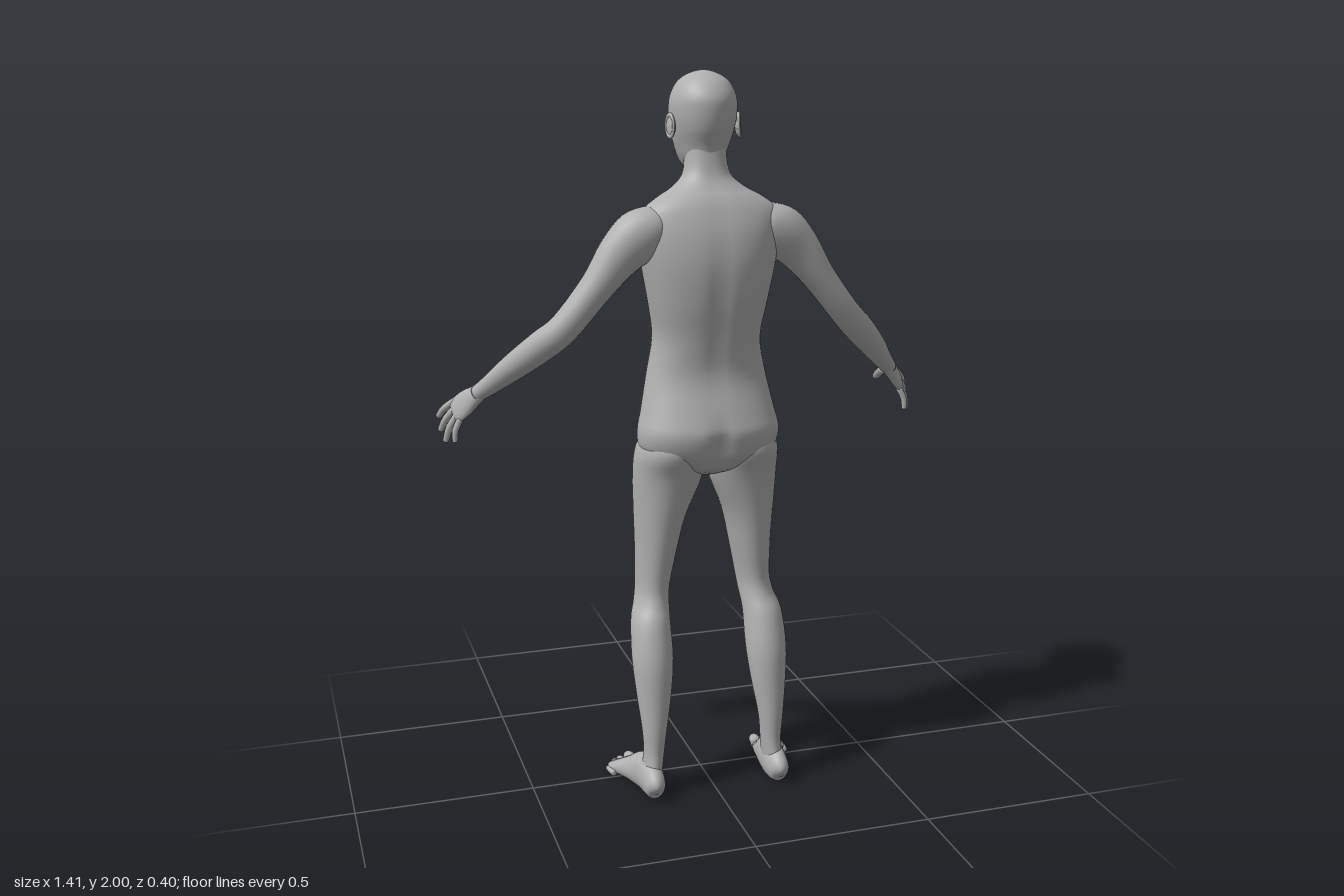
import * as THREE from 'three';

const V = (x, y, z) => new THREE.Vector3(x, y, z);
const gauss = (d, s) => Math.exp(-(d * d) / (2 * s * s));

// Catmull-Rom value through rows of numbers
function sample(rows, i, t) {
  const n = rows.length - 1;
  const p = k => rows[Math.max(0, Math.min(n, k))];
  return rows[i].map((_, c) => {
    const a = p(i - 1)[c], b = p(i)[c], d = p(i + 1)[c], e = p(i + 2)[c];
    return b + 0.5 * t * (d - a + t * (2 * a - 5 * b + 4 * d - e + t * (3 * (b - d) + e - a)));
  });
}

// Closed skin over elliptical sections [x, y, z, radiusA, radiusB].
// level: sections stay horizontal; otherwise they stand across the path, with radiusA along ref.
function loft(rows, { seg = 28, steps = 4, level = false, ref = V(0, 0, 1), power = 2, deform = null } = {}) {
  const s = [];
  for (let i = 0; i < rows.length - 1; i++)
    for (let k = 0; k < steps; k++) s.push(sample(rows, i, k / steps));
  s.push(rows[rows.length - 1]);
  const pos = [], idx = [];
  const centre = i => V(s[i][0], s[i][1], s[i][2]);
  const add = p => { if (deform) deform(p); pos.push(p.x, p.y, p.z); };
  const sup = v => Math.sign(v) * Math.pow(Math.abs(v), 2 / power);
  s.forEach((r, i) => {
    const T = centre(Math.min(i + 1, s.length - 1)).sub(centre(Math.max(i - 1, 0)));
    if (level) T.set(0, Math.sign(T.y), 0);
    T.normalize();
    const A = level ? V(1, 0, 0) : ref.clone().addScaledVector(T, -ref.dot(T)).normalize();
    const B = T.clone().cross(A);
    for (let j = 0; j < seg; j++) {
      const a = j / seg * Math.PI * 2;
      add(centre(i).addScaledVector(A, sup(Math.cos(a)) * r[3]).addScaledVector(B, sup(Math.sin(a)) * r[4]));
    }
  });
  for (let i = 0; i < s.length - 1; i++)
    for (let j = 0; j < seg; j++) {
      const a = i * seg + j, b = i * seg + (j + 1) % seg;
      idx.push(a, b, b + seg, a, b + seg, a + seg);
    }
  // end caps
  const last = (s.length - 1) * seg, c0 = s.length * seg;
  add(centre(0)); add(centre(s.length - 1));
  for (let j = 0; j < seg; j++) {
    const k = (j + 1) % seg;
    idx.push(c0, k, j, c0 + 1, last + j, last + k);
  }
  const g = new THREE.BufferGeometry();
  g.setAttribute('position', new THREE.Float32BufferAttribute(pos, 3));
  g.setIndex(idx);
  g.computeVertexNormals();
  return g;
}

// Mirror image of a geometry across x = 0
function mirrored(geo) {
  const g = geo.clone().scale(-1, 1, 1), ix = g.index.array;
  for (let i = 0; i < ix.length; i += 3) [ix[i], ix[i + 1]] = [ix[i + 1], ix[i]];
  g.computeVertexNormals();
  return g;
}

// [y, x0, x1, zFront, zBack] to a level section
const span = ([y, x0, x1, f, b]) => [(x0 + x1) / 2, y, (f + b) / 2, (x1 - x0) / 2, (b - f) / 2];
const symmetric = ([y, w, f, b]) => span([y, -w, w, f, b]);

// Thin rounded finger or toe through three points
function digit(a, b, c, r) {
  const end = c.clone().sub(b).setLength(r * 0.7);
  const row = (p, k) => [p.x, p.y, p.z, r * k, r * k];
  return loft([row(a, 1.1), row(b, 1.05), row(c.clone().sub(end), 0.85), row(c.clone().addScaledVector(end, -0.3), 0.6), row(c, 0.15)],
    { seg: 12, steps: 3, ref: V(0.1, 0.73, -0.68) });
}

export function createModel() {
  const model = new THREE.Group();
  const skin = new THREE.MeshStandardMaterial({ color: 0xb0b0b0 });
  skin.name = 'skin grey';
  const put = (name, geo) => {
    const m = new THREE.Mesh(geo, skin);
    m.name = name;
    model.add(m);
  };
  const pair = (name, geo) => {
    put('left' + name, geo);
    put('right' + name, mirrored(geo));
  };

  // Torso and neck; the figure faces -z
  put('torso', loft([
    [0.915, 0.05, -0.02, 0.08], [0.94, 0.1, -0.035, 0.14], [0.97, 0.15, -0.045, 0.17], [1.0, 0.19, -0.05, 0.187],
    [1.05, 0.197, -0.05, 0.198], [1.1, 0.186, -0.052, 0.185], [1.2, 0.165, -0.057, 0.157], [1.3, 0.148, -0.063, 0.168],
    [1.4, 0.163, -0.053, 0.188], [1.5, 0.182, -0.05, 0.197], [1.58, 0.19, -0.025, 0.188], [1.64, 0.185, 0.005, 0.168],
    [1.675, 0.145, 0.015, 0.15], [1.7, 0.1, 0.012, 0.13], [1.73, 0.066, 0, 0.112], [1.77, 0.056, -0.008, 0.102],
    [1.83, 0.053, -0.01, 0.095],
  ].map(symmetric), {
    seg: 56, level: true, power: 2.3,
    deform: p => {
      const { x, y, z } = p, ax = Math.abs(x);
      if (z < 0.03) { // chest, breastbone, navel and groin
        p.z -= 0.012 * gauss(ax - 0.08, 0.04) * gauss(y - 1.51, 0.045);
        p.z += 0.008 * gauss(x, 0.015) * gauss(y - 1.5, 0.08);
        p.z += 0.008 * gauss(x, 0.012) * gauss(y - 1.2, 0.012);
        p.z -= 0.014 * gauss(x, 0.03) * gauss(y - 0.96, 0.03);
      } else if (z > 0.1) { // spine furrow and cleft
        p.z -= 0.008 * gauss(x, 0.016) * gauss(y - 1.4, 0.14);
        p.z -= 0.022 * gauss(x, 0.014) * gauss(y - 1.0, 0.045);
      }
    },
  }));

  // Head with modelled face
  put('head', loft([
    [1.735, 0.028, -0.045, 0.06], [1.752, 0.046, -0.076, 0.08], [1.775, 0.06, -0.087, 0.094], [1.81, 0.073, -0.088, 0.105],
    [1.85, 0.083, -0.086, 0.122], [1.89, 0.089, -0.087, 0.13], [1.93, 0.087, -0.08, 0.129], [1.965, 0.072, -0.057, 0.108],
    [1.985, 0.05, -0.03, 0.082], [1.996, 0.025, 0, 0.054], [2.0, 0.004, 0.022, 0.03],
  ].map(symmetric), {
    seg: 88, steps: 7, level: true,
    deform: p => {
      const { x, y, z } = p, ax = Math.abs(x);
      if (z > -0.02) return;
      p.z -= 0.024 * gauss(x, 0.011) * gauss(y - 1.832, 0.011); // nose tip
      p.z -= 0.012 * gauss(x, 0.008) * gauss(y - 1.857, 0.016); // nose bridge
      p.z -= 0.006 * gauss(ax - 0.014, 0.006) * gauss(y - 1.827, 0.007); // nostrils
      p.z += 0.013 * gauss(ax - 0.033, 0.014) * gauss(y - 1.868, 0.011); // eye sockets
      p.z -= 0.004 * gauss(ax - 0.032, 0.02) * gauss(y - 1.889, 0.006); // brows
      p.z -= 0.008 * gauss(x, 0.018) * (gauss(y - 1.801, 0.005) + gauss(y - 1.787, 0.005)); // lips
      p.z += 0.004 * gauss(x, 0.022) * gauss(y - 1.794, 0.003); // mouth line
      p.z -= 0.005 * gauss(x, 0.016) * gauss(y - 1.762, 0.009); // chin
    },
  }));
  pair('Eye', new THREE.SphereGeometry(1, 18, 12).scale(0.014, 0.007, 0.009).rotateY(0.35).translate(0.033, 1.867, -0.063));
  pair('Ear', new THREE.SphereGeometry(1, 18, 14).scale(0.008, 0.029, 0.018).rotateY(-0.4).rotateX(-0.15).translate(0.092, 1.856, 0.038));
  pair('EarRim', new THREE.TorusGeometry(0.02, 0.0045, 8, 24).scale(0.8, 1.4, 1).rotateY(Math.PI / 2 - 0.4).rotateX(-0.15).translate(0.095, 1.858, 0.04));

  // Arms from shoulder to wrist
  pair('Arm', loft([
    [0.11, 1.615, 0.09, 0.04, 0.04], [0.15, 1.605, 0.09, 0.062, 0.056], [0.195, 1.58, 0.092, 0.064, 0.07],
    [0.25, 1.53, 0.092, 0.054, 0.06], [0.31, 1.452, 0.09, 0.047, 0.045], [0.395, 1.347, 0.078, 0.041, 0.041],
    [0.45, 1.295, 0.045, 0.04, 0.042], [0.52, 1.23, -0.01, 0.034, 0.036], [0.575, 1.175, -0.06, 0.025, 0.027],
    [0.605, 1.148, -0.087, 0.024, 0.022],
  ]));

  // Hands, with fingers fanned along the spread direction
  const spread = V(0.1, 0.73, -0.68);
  pair('Palm', loft([
    [0.59, 1.162, -0.074, 0.022, 0.019], [0.612, 1.14, -0.093, 0.03, 0.019], [0.635, 1.117, -0.113, 0.038, 0.017],
    [0.657, 1.094, -0.131, 0.038, 0.013], [0.664, 1.086, -0.137, 0.03, 0.006],
  ], { ref: spread, seg: 20 }));
  const tips = [V(0.7, 1.065, -0.192), V(0.698, 1.03, -0.172), V(0.689, 1.005, -0.14), V(0.668, 1.01, -0.104)];
  ['Index', 'Middle', 'Ring', 'Little'].forEach((name, i) => {
    const base = V(0.653, 1.097, -0.129).addScaledVector(spread, 0.029 - i * 0.0195);
    const mid = base.clone().lerp(tips[i], 0.5).add(V(0.006, 0.002, 0));
    pair(name + 'Finger', digit(base, mid, tips[i], i === 3 ? 0.0085 : 0.01));
  });
  pair('Thumb', digit(V(0.603, 1.138, -0.1), V(0.609, 1.122, -0.15), V(0.611, 1.095, -0.196), 0.0125));

  // Legs from hip to ankle
  pair('Leg', loft([
    [1.08, 0.07, 0.16, 0, 0.13], [1.0, 0.02, 0.198, -0.05, 0.17], [0.92, 0.01, 0.205, -0.056, 0.142],
    [0.8, 0.056, 0.2, -0.06, 0.12], [0.7, 0.08, 0.196, -0.058, 0.105], [0.6, 0.1, 0.196, -0.05, 0.092],
    [0.55, 0.106, 0.204, -0.032, 0.102], [0.5, 0.11, 0.22, -0.004, 0.128], [0.4, 0.11, 0.226, 0.028, 0.155],
    [0.3, 0.121, 0.219, 0.058, 0.162], [0.2, 0.138, 0.208, 0.083, 0.165], [0.12, 0.147, 0.203, 0.078, 0.162],
    [0.05, 0.155, 0.212, 0.06, 0.17],
  ].map(span), { seg: 36, level: true }));

  // Feet with flat soles
  const sole = p => { p.y = Math.max(p.y, 0.003); };
  pair('Foot', loft([
    [0.185, 0.035, 0.192, 0.008, 0.014], [0.185, 0.042, 0.178, 0.027, 0.038], [0.184, 0.05, 0.13, 0.034, 0.055],
    [0.19, 0.048, 0.07, 0.036, 0.055], [0.207, 0.034, 0.015, 0.044, 0.036], [0.222, 0.021, -0.03, 0.047, 0.023],
    [0.226, 0.015, -0.06, 0.04, 0.013], [0.226, 0.013, -0.068, 0.03, 0.006],
  ], { ref: V(1, 0, 0), deform: sole }));
  const toes = [[0.196, -0.104, 0.0155], [0.221, -0.1, 0.0105], [0.239, -0.088, 0.01], [0.254, -0.072, 0.0095], [0.266, -0.052, 0.0085]];
  toes.forEach(([x, z, r], i) =>
    pair('Toe' + (i + 1), digit(V(x - 0.004, r + 0.007, z + 0.055), V(x, r + 0.006, z + 0.025), V(x + 0.002, r, z), r)));

  return model;
}
